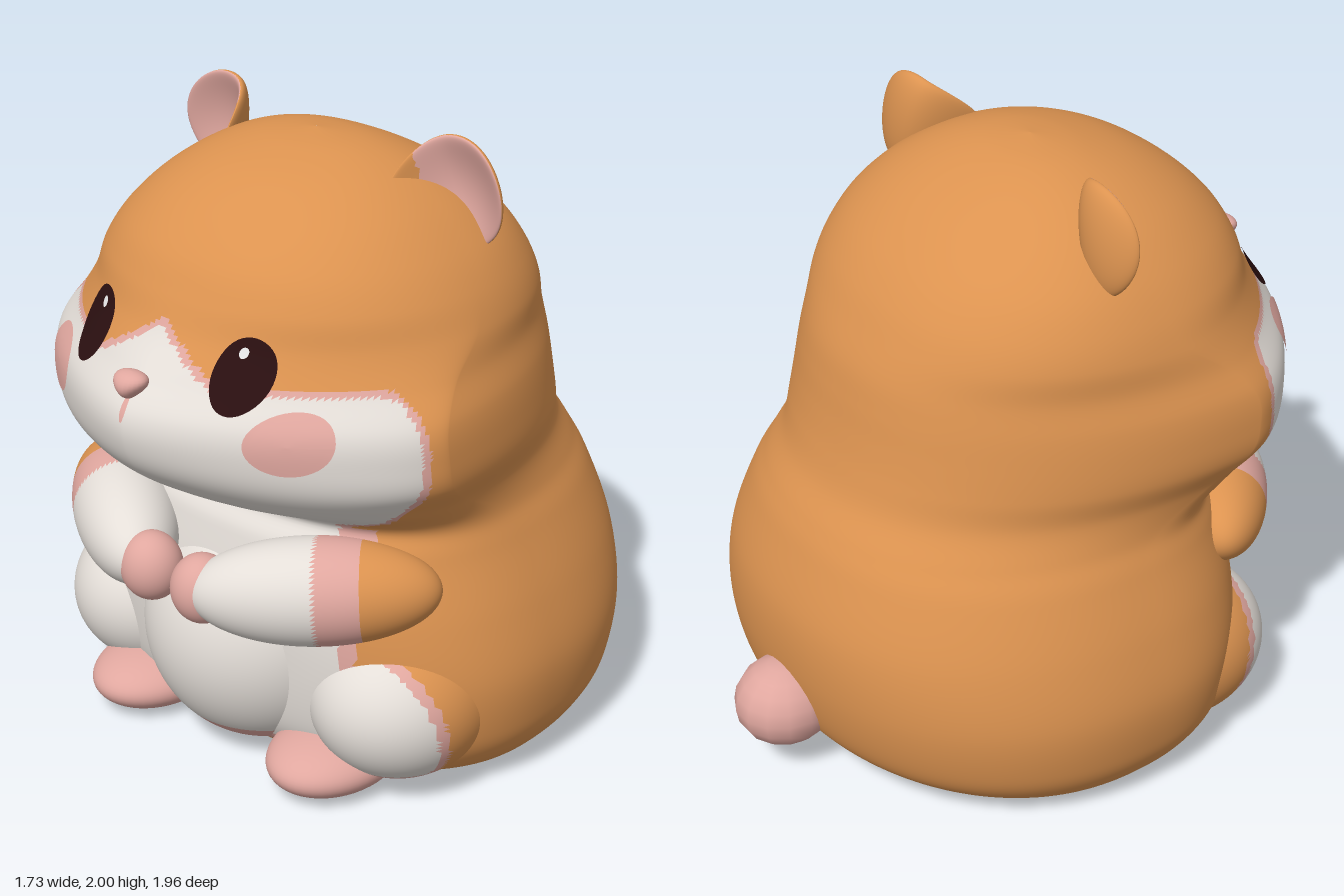
import * as THREE from 'three';

const colour = (name, hex) => {
  const m = new THREE.MeshStandardMaterial({ color: hex });
  m.name = name;
  return m;
};
const orange = colour('orange fur', 0xdc9350);
const white = colour('white fur', 0xe4ded8);
const pink = colour('pink skin', 0xe0a79f);
const dark = colour('eye brown', 0x2a0f10);
const glint = colour('eye glint', 0xffffff);
const FUR = [orange, pink, white];

// Body sections: y, half width, z of widest point, front z, back z, front roundness
const ROWS = [
  [0.02, 0.001, 0, 0.001, -0.001, 2], [0.005, 0.42, 0, 0.28, -0.3, 2.2],
  [0.01, 0.66, 0, 0.45, -0.46, 2.2], [0.05, 0.75, 0, 0.52, -0.62, 2.3],
  [0.12, 0.81, 0, 0.58, -0.73, 2.4], [0.22, 0.85, 0, 0.62, -0.79, 2.4],
  [0.4, 0.865, 0, 0.64, -0.825, 2.4], [0.6, 0.82, 0, 0.64, -0.82, 2.4],
  [0.8, 0.745, 0.02, 0.6, -0.76, 2.4], [0.9, 0.71, 0.1, 0.57, -0.715, 2.3],
  [1.0, 0.72, 0.27, 0.79, -0.655, 1.9], [1.1, 0.765, 0.4, 0.92, -0.62, 1.6],
  [1.2, 0.77, 0.43, 0.97, -0.595, 1.5], [1.3, 0.755, 0.42, 0.965, -0.575, 1.5],
  [1.4, 0.71, 0.33, 0.89, -0.55, 1.6], [1.5, 0.68, 0.2, 0.81, -0.505, 1.85],
  [1.6, 0.635, 0.15, 0.755, -0.45, 2.1], [1.7, 0.565, 0.12, 0.69, -0.37, 2.2],
  [1.8, 0.46, 0.12, 0.58, -0.255, 2.2], [1.88, 0.33, 0.13, 0.44, -0.12, 2.1],
  [1.93, 0.18, 0.14, 0.28, 0.01, 2], [1.95, 0.001, 0.14, 0.141, 0.139, 2],
];

// Smoothly interpolated section at u in 0..1
function section(u) {
  const n = ROWS.length - 1, i = Math.min(Math.floor(u * n), n - 1), t = u * n - i;
  const at = (k) => ROWS[THREE.MathUtils.clamp(k, 0, n)];
  return ROWS[0].map((_, c) => {
    const [a, b, d, e] = [at(i - 1)[c], at(i)[c], at(i + 1)[c], at(i + 2)[c]];
    return b + 0.5 * t * (d - a + t * (2 * a - 5 * b + 4 * d - e + t * (3 * (b - d) + e - a)));
  });
}

// Front surface of the head at x, y
function frontZ(x, y) {
  let lo = 0.4, hi = 1;
  for (let i = 0; i < 30; i++) {
    const mid = (lo + hi) / 2;
    if (section(mid)[0] < y) lo = mid; else hi = mid;
  }
  const [, w, zc, f, , p] = section(lo);
  return zc + (f - zc) * Math.pow(Math.max(0, 1 - Math.pow(Math.abs(x) / w, p)), 1 / p);
}

function bodyGeometry(rows = 180, cols = 220) {
  const pos = [], index = [];
  const pow = (v, e) => Math.sign(v) * Math.pow(Math.abs(v), e);
  for (let j = 0; j <= rows; j++) {
    const [y, w, zc, f, b, p] = section(j / rows);
    for (let i = 0; i < cols; i++) {
      const a = (i / cols) * Math.PI * 2, s = Math.sin(a), c = Math.cos(a);
      const e = 2 / (c > 0 ? p : 2.2);
      pos.push(w * pow(s, e), Math.max(0, y), zc + (c > 0 ? f - zc : zc - b) * pow(c, e));
      if (j === rows) continue;
      const k = j * cols + i, r = j * cols + (i + 1) % cols;
      index.push(k, r, r + cols, k, r + cols, k + cols);
    }
  }
  const g = new THREE.BufferGeometry();
  g.setAttribute('position', new THREE.Float32BufferAttribute(pos, 3));
  g.setIndex(index);
  g.computeVertexNormals();
  return g;
}

// Sort triangles into material groups by the point at their middle
function paint(g, rule) {
  const sets = [[], [], []], id = g.index.array, p = g.attributes.position;
  const v = new THREE.Vector3(), m = new THREE.Vector3();
  for (let i = 0; i < id.length; i += 3) {
    m.set(0, 0, 0);
    for (let k = 0; k < 3; k++) m.add(v.fromBufferAttribute(p, id[i + k]));
    sets[rule(m.divideScalar(3))].push(id[i], id[i + 1], id[i + 2]);
  }
  g.setIndex(sets.flat());
  let start = 0;
  g.clearGroups();
  sets.forEach((s, k) => { g.addGroup(start, s.length, k); start += s.length; });
  return g;
}
// Fur colour by depth inside a marking: white, pink fringe, orange
const fringe = (d, width) => (d > width ? 2 : d > 0 ? 1 : 0);

const ball = (c, r, w = 48, h = 32) =>
  new THREE.SphereGeometry(1, w, h).scale(...r).translate(...c);

function mirrored(g) {
  const m = g.clone().scale(-1, 1, 1), id = m.index.array;
  for (let i = 0; i < id.length; i += 3) [id[i + 1], id[i + 2]] = [id[i + 2], id[i + 1]];
  return m;
}

// Thin oval lying on the face
function facePlate(cx, cy, rx, ry, tilt, lift) {
  const g = new THREE.RingGeometry(0.001, 1, 40, 5).scale(rx, ry, 1).rotateZ(tilt).translate(cx, cy, 0);
  const p = g.attributes.position;
  for (let i = 0; i < p.count; i++) p.setZ(i, frontZ(p.getX(i), p.getY(i)) + lift);
  g.computeVertexNormals();
  return g;
}

// Cupped ear whose inner edge curls forward
function earGeometry() {
  const g = new THREE.SphereGeometry(1, 48, 40);
  paint(g, (m) => (m.z > 0.1 && m.x > -0.55 ? 1 : 0));
  const p = g.attributes.position;
  for (let i = 0; i < p.count; i++) {
    const x = p.getX(i), y = p.getY(i), z = p.getZ(i);
    const dent = z > 0 ? 0.075 * z * z : 0;
    const curl = x < 0 ? 0.15 * x * x : 0.05 * x * x;
    p.setXYZ(i, 0.165 * x, 0.175 * y, 0.05 * z - dent + curl);
  }
  g.computeVertexNormals();
  return g.rotateZ(0.25).rotateY(0.22).translate(0.46, 1.825, 0.035);
}

export function createModel() {
  const root = new THREE.Group();
  const add = (name, g, mat) => {
    const mesh = new THREE.Mesh(g, mat);
    mesh.name = name;
    root.add(mesh);
  };
  const pair = (name, g, mat) => {
    add('left' + name, g, mat);
    add('right' + name, mirrored(g), mat);
  };

  // Head and body in one skin, with muzzle and chest markings
  add('body', paint(bodyGeometry(), ({ x, y, z }) => {
    const ax = Math.abs(x);
    if (y < 0.9) return fringe(Math.min(z - 0.45, 0.52 - ax, y - 0.07), 0.05);
    const top = 1.415 + 0.13 * Math.pow(Math.max(0, 1 - ax / 0.23), 1.2) - y;
    const side = z - 0.49, r = 0.06;
    const corner = top < r && side < r ? r - Math.hypot(r - top, r - side) : Math.min(top, side);
    return fringe(corner, 0.022);
  }), FUR);
  add('belly', paint(ball([0, 0.4, 0.4], [0.38, 0.39, 0.37], 80, 60),
    (m) => fringe(m.y - 0.075, 0.06)), FUR);

  // Legs and feet
  pair('Thigh', paint(ball([0.52, 0.3, 0.33], [0.28, 0.26, 0.31], 80, 60),
    (m) => fringe(Math.min(m.z - 0.36 - 0.24 * m.y, m.y - 0.08), 0.035)), FUR);
  const foot = ball([0.385, 0.1, 0.49], [0.19, 0.1, 0.245]);
  const fp = foot.attributes.position;
  for (let i = 0; i < fp.count; i++) fp.setY(i, Math.max(0.012, fp.getY(i)));
  foot.computeVertexNormals();
  pair('Foot', foot, pink);

  // Arms folded toward the middle, with paws
  const axis = new THREE.Vector3(-0.8, -0.05, 0.6).normalize();
  const centre = new THREE.Vector3(0.4, 0.715, 0.6);
  const turn = new THREE.Quaternion().setFromUnitVectors(new THREE.Vector3(0, 1, 0), axis);
  const arm = new THREE.SphereGeometry(1, 64, 64).scale(0.165, 0.38, 0.165)
    .applyQuaternion(turn).translate(...centre.toArray());
  pair('Arm', paint(arm, (m) => fringe(m.sub(centre).dot(axis) + 0.15, 0.14)), FUR);
  pair('Paw', ball([0.108, 0.69, 0.775], [0.1, 0.11, 0.095]), pink);

  // Ears and tail
  pair('Ear', earGeometry(), FUR);
  add('tail', ball([0, 0.25, -0.815], [0.155, 0.145, 0.165], 14, 10), pink);

  // Face
  for (const [side, s] of [['left', 1], ['right', -1]]) {
    add(side + 'Eye', facePlate(0.295 * s, 1.442, 0.082, 0.101, 0.2 * s, 0.008), dark);
    add(side + 'EyeGlint', facePlate(s > 0 ? 0.28 : -0.285, 1.5, 0.013, 0.015, 0, 0.012), glint);
    add(side + 'Blush', facePlate(0.467 * s, 1.275, 0.108, 0.09, 0, 0.008), pink);
  }
  const nose = new THREE.SphereGeometry(1, 24, 16);
  const np = nose.attributes.position;
  for (let i = 0; i < np.count; i++) np.setX(i, np.getX(i) * (0.75 + 0.45 * np.getY(i)));
  nose.scale(0.065, 0.042, 0.05).translate(0, 1.38, 0.93);
  nose.computeVertexNormals();
  add('nose', nose, pink);
  add('mouth', facePlate(0, 1.315, 0.01, 0.04, 0, 0.008), pink);
  return root;
}
